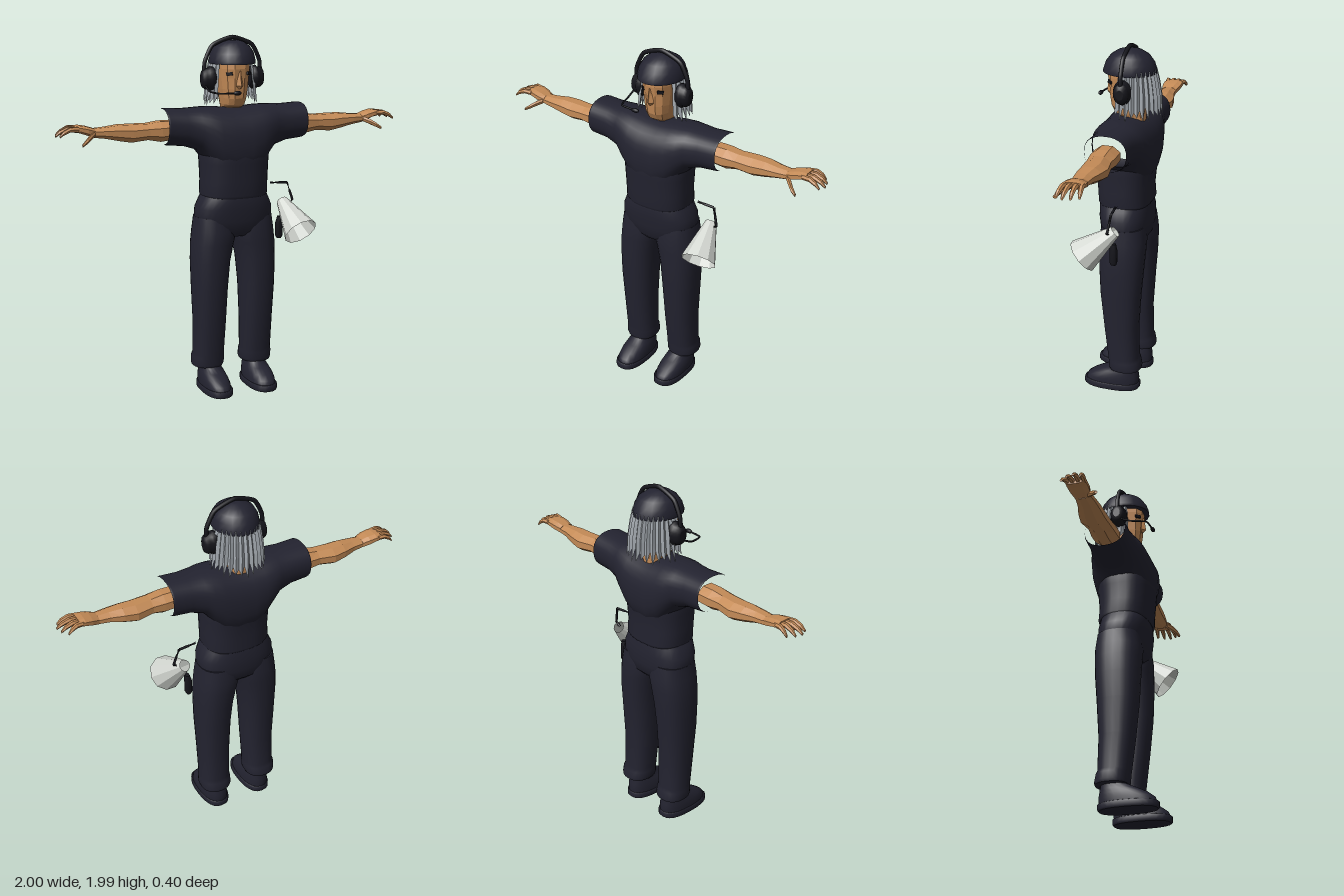
import * as THREE from 'three';

const mat = (name, color, side = THREE.FrontSide) => {
  const m = new THREE.MeshStandardMaterial({ color, side });
  m.name = name;
  return m;
};

// Skin of a stack of oval rings [t, uMin, uMax, vMin, vMax].
// axis 'y': t = y, u = x, v = z.  axis 'x': t = x, u = z, v = y.
function loft(rings, { n = 24, axis = 'y', p = 1, flat = false, start = true, end = true, turn = 0 } = {}) {
  const pos = [], idx = [];
  const put = (t, u, v) => pos.push(...(axis === 'y' ? [u, t, v] : [t, v, u]));
  const pow = (c) => Math.sign(c) * Math.abs(c) ** p;
  const ring = ([t, u0, u1, v0, v1]) => {
    for (let j = 0; j < n; j++) {
      const a = ((j + turn) / n) * Math.PI * 2;
      put(t, (u0 + u1) / 2 + pow(Math.cos(a)) * (u1 - u0) / 2, (v0 + v1) / 2 + pow(Math.sin(a)) * (v1 - v0) / 2);
    }
  };
  rings.forEach(ring);
  for (let i = 0; i < rings.length - 1; i++) {
    for (let j = 0; j < n; j++) {
      const a = i * n + j, b = i * n + (j + 1) % n;
      idx.push(a, a + n, b, b, a + n, b + n);
    }
  }
  const cap = (r, last) => {
    const base = pos.length / 3;
    ring(r);
    put(r[0], (r[1] + r[2]) / 2, (r[3] + r[4]) / 2);
    for (let j = 0; j < n; j++) {
      const a = base + j, b = base + (j + 1) % n;
      if (last) idx.push(base + n, b, a); else idx.push(base + n, a, b);
    }
  };
  if (start) cap(rings[0], false);
  if (end) cap(rings[rings.length - 1], true);
  return finish(pos, idx, flat);
}

function finish(pos, idx, flat) {
  let g = new THREE.BufferGeometry();
  g.setAttribute('position', new THREE.Float32BufferAttribute(pos, 3));
  g.setIndex(idx);
  if (flat) g = g.toNonIndexed();
  g.computeVertexNormals();
  return g;
}

const tube = (pts, r, seg = 24) => new THREE.TubeGeometry(
  new THREE.CatmullRomCurve3(pts.map((q) => new THREE.Vector3(...q)), false, 'catmullrom', 0.3), seg, r, 8);

export function createModel() {
  const root = new THREE.Group();
  const cloth = mat('dark cloth', 0x232330);
  const gear = mat('headset black', 0x15151b);
  const skin = mat('skin', 0xc48b57);
  const grey = mat('grey hair', 0xa0a6ac, THREE.DoubleSide);
  const pale = mat('pale plastic', 0xd2d6d0, THREE.DoubleSide);
  const add = (name, geo, m, parent = root) => {
    const mesh = new THREE.Mesh(geo, m);
    mesh.name = name;
    parent.add(mesh);
    return mesh;
  };
  // Symmetric rows: [y, half width, zMin, zMax]
  const sym = (rows) => rows.map(([y, w, z0, z1]) => [y, -w, w, z0, z1]);

  // Shirt: hollow sleeves and chest in one tube, with the body below
  const half = [
    [0.41, -0.13, 0.095, 1.415, 1.605], [0.40, -0.135, 0.1, 1.41, 1.607], [0.3, -0.135, 0.1, 1.4, 1.602],
    [0.22, -0.15, 0.115, 1.375, 1.605], [0.18, -0.165, 0.135, 1.33, 1.607], [0.12, -0.177, 0.152, 1.25, 1.606],
    [0.05, -0.18, 0.16, 1.2, 1.6]];
  const chest = [...half.map(([x, ...r]) => [-x, ...r]), ...half.slice().reverse()];
  add('shirtSleevesAndChest', loft(chest, { axis: 'x', n: 32, p: 0.85, start: false, end: false }), cloth);
  add('shirtBody', loft(sym([
    [1.11, 0.18, -0.15, 0.13], [1.125, 0.188, -0.158, 0.138], [1.2, 0.187, -0.152, 0.142],
    [1.3, 0.19, -0.162, 0.152], [1.37, 0.195, -0.172, 0.158], [1.41, 0.185, -0.17, 0.15]]),
  { n: 32, p: 0.8, end: false }), cloth);

  // Trousers
  add('trouserSeat', loft(sym([
    [0.89, 0.1, -0.11, 0.08], [0.92, 0.19, -0.14, 0.105], [0.98, 0.222, -0.152, 0.118],
    [1.05, 0.218, -0.152, 0.128], [1.1, 0.195, -0.145, 0.13], [1.13, 0.18, -0.14, 0.125]]), { n: 32, p: 0.8 }), cloth);

  // Paired parts, built on the +x side and mirrored
  for (const s of [1, -1]) {
    const side = new THREE.Group();
    side.name = s > 0 ? 'leftLimbs' : 'rightLimbs';
    side.scale.x = s;
    root.add(side);

    add('trouserLeg', loft([
      [0.135, 0.062, 0.232, -0.135, 0.045], [0.15, 0.055, 0.236, -0.138, 0.05], [0.19, 0.055, 0.236, -0.13, 0.052],
      [0.21, 0.058, 0.23, -0.122, 0.055], [0.4, 0.052, 0.232, -0.118, 0.078], [0.6, 0.044, 0.24, -0.13, 0.098],
      [0.75, 0.03, 0.243, -0.142, 0.105], [0.85, 0.008, 0.24, -0.148, 0.108], [0.92, -0.01, 0.232, -0.15, 0.11],
      [1.0, -0.01, 0.222, -0.14, 0.1]], { p: 0.85 }), cloth, side);

    add('shoeSole', loft([
      [0, 0.062, 0.21, -0.118, 0.195], [0.008, 0.055, 0.216, -0.125, 0.203], [0.034, 0.055, 0.216, -0.125, 0.203],
      [0.038, 0.062, 0.21, -0.118, 0.195]], { p: 0.8 }), cloth, side);
    add('shoeUpper', loft([
      [0.036, 0.062, 0.21, -0.118, 0.192], [0.06, 0.062, 0.21, -0.12, 0.183], [0.085, 0.066, 0.207, -0.117, 0.15],
      [0.11, 0.072, 0.2, -0.113, 0.1], [0.135, 0.082, 0.192, -0.11, 0.045], [0.2, 0.09, 0.19, -0.1, 0.03]],
    { p: 0.85 }), cloth, side);

    // Bare arm and palm
    add('arm', loft([
      [0.36, -0.09, 0.06, 1.435, 1.545], [0.43, -0.09, 0.06, 1.428, 1.545], [0.5, -0.085, 0.052, 1.442, 1.535],
      [0.59, -0.1, 0.05, 1.432, 1.535], [0.66, -0.09, 0.045, 1.445, 1.535], [0.73, -0.07, 0.038, 1.462, 1.527],
      [0.8, -0.062, 0.028, 1.472, 1.522]], { axis: 'x', n: 8, turn: 0.5, flat: true }), skin, side);
    add('palm', loft([
      [0.79, -0.062, 0.028, 1.472, 1.522], [0.83, -0.075, 0.036, 1.485, 1.535], [0.87, -0.082, 0.034, 1.5, 1.542],
      [0.9, -0.08, 0.03, 1.505, 1.54]], { axis: 'x', n: 8, p: 0.8, turn: 0.5, flat: true }), skin, side);

    // Curled fingers: base z, tip z, tip x
    [[-0.066, -0.078, 0.965], [-0.039, -0.042, 0.99], [-0.01, -0.003, 1.0], [0.018, 0.032, 0.985]].forEach(([z0, z1, x1], k) => {
      const rings = [[0, 1.523, 0.014], [0.45, 1.525, 0.014], [0.8, 1.51, 0.012], [1, 1.492, 0.007]].map(([f, y, r]) => {
        const z = z0 + (z1 - z0) * f;
        return [0.88 + (x1 - 0.88) * f, z - r, z + r, y - r, y + r];
      });
      add('finger' + (k + 1), loft(rings, { axis: 'x', n: 6, flat: true }), skin, side);
    });
    add('thumb', loft([
      [0.795, 0.0, 0.03, 1.48, 1.51], [0.825, 0.025, 0.06, 1.465, 1.498], [0.85, 0.05, 0.08, 1.452, 1.48],
      [0.88, 0.072, 0.09, 1.438, 1.455]], { axis: 'x', n: 6, flat: true }), skin, side);

    // Ear cup of the headset
    const cup = [[0.1, 0.7], [0.115, 0.95], [0.135, 1], [0.142, 0.85], [0.16, 0.85], [0.175, 0.7], [0.182, 0.4]];
    add('earCup', loft(cup.map(([x, k]) => [x, -0.02 - 0.05 * k, -0.02 + 0.05 * k, 1.755 - 0.067 * k, 1.755 + 0.067 * k]),
      { axis: 'x', n: 20 }), gear, side);

    // Eye with dark brow, a thin plate wrapped on the face corner
    const eye = add('eye', new THREE.BoxGeometry(0.034, 0.018, 0.008), gear, side);
    eye.position.set(0.056, 1.785, 0.073);
    eye.rotation.set(0, 0.75, -0.15);
  }

  // Head and neck
  add('head', loft(sym([
    [1.54, 0.055, -0.11, 0.01], [1.6, 0.055, -0.11, 0.03], [1.615, 0.06, -0.11, 0.058], [1.65, 0.066, -0.12, 0.076],
    [1.7, 0.074, -0.13, 0.083], [1.76, 0.08, -0.14, 0.086], [1.81, 0.083, -0.14, 0.094], [1.86, 0.083, -0.14, 0.09]]),
  { n: 12, p: 0.75, turn: 0.5, flat: true }), skin);
  add('nose', loft(sym([
    [1.705, 0.012, 0.06, 0.092], [1.72, 0.02, 0.06, 0.106], [1.8, 0.009, 0.06, 0.095]]),
  { n: 4, flat: true }), skin);

  // Hair: folded curtain around the sides and back with ragged tips
  const cols = 40, pos = [], idx = [];
  const rows = [[1.86, 0.112, 0.11], [1.8, 0.122, 0.125], [1.72, 0.132, 0.138], [1.635, 0.14, 0.142]];
  for (let r = 0; r < 4; r++) {
    for (let c = 0; c <= cols; c++) {
      const a = (c / cols * 2 - 1) * 2.2;
      const fold = c % 2 ? 1.05 : 0.95;
      const tip = r === 3 ? (c % 2 ? -0.022 : 0.028) + 0.014 * Math.sin(c * 2.3) : 0;
      pos.push(Math.sin(a) * rows[r][1] * fold, rows[r][0] + tip, -0.05 - Math.cos(a) * rows[r][2] * fold);
      if (r < 3 && c < cols) {
        const i = r * (cols + 1) + c, k = i + cols + 1;
        idx.push(i, i + 1, k, i + 1, k + 1, k);
      }
    }
  }
  add('hair', finish(pos, idx, true), grey);

  // Helmet
  add('helmet', loft(sym([
    [1.835, 0.124, -0.168, 0.123], [1.85, 0.126, -0.168, 0.122], [1.89, 0.118, -0.155, 0.108],
    [1.925, 0.098, -0.13, 0.082], [1.95, 0.064, -0.09, 0.045], [1.96, 0.025, -0.045, 0.003]]), { n: 20 }), cloth);

  // Headset band and microphone
  add('headBand', tube([[-0.165, 1.79, -0.02], [-0.16, 1.85, -0.02], [-0.115, 1.935, -0.02], [0, 1.975, -0.02],
    [0.115, 1.935, -0.02], [0.16, 1.85, -0.02], [0.165, 1.79, -0.02]], 0.012, 40), gear);
  add('microphoneBoom', tube([[-0.165, 1.73, -0.02], [-0.165, 1.695, 0.06], [-0.14, 1.69, 0.145], [-0.04, 1.69, 0.158]], 0.005), gear);
  const tip = add('microphone', new THREE.SphereGeometry(0.012, 12, 8), gear);
  tip.scale.x = 2;
  tip.position.set(-0.045, 1.69, 0.158);

  // Megaphone hanging at the hip
  const small = new THREE.Vector3(0.315, 1.045, -0.04), wide = new THREE.Vector3(0.35, 0.895, 0.135);
  const axis = wide.clone().sub(small);
  const horn = add('megaphoneHorn', new THREE.CylinderGeometry(0.098, 0.032, axis.length(), 10, 1, true).toNonIndexed(), pale);
  horn.geometry.computeVertexNormals();
  horn.position.copy(small).add(wide).multiplyScalar(0.5);
  horn.quaternion.setFromUnitVectors(new THREE.Vector3(0, 1, 0), axis.normalize());
  add('megaphoneGrip', loft([
    [0.835, 0.275, 0.3, -0.035, -0.005], [0.85, 0.268, 0.308, -0.04, 0], [0.92, 0.268, 0.308, -0.04, 0],
    [0.96, 0.28, 0.305, -0.035, 0.005]], { n: 12, p: 0.7 }), gear);
  const strap = [[0.235, 1.157, -0.02], [0.34, 1.15, -0.025], [0.368, 1.05, -0.01], [0.335, 1.03, -0.01]];
  for (let i = 0; i < 3; i++) add('megaphoneStrap' + (i + 1), tube([strap[i], strap[i + 1]], 0.007, 2), gear);

  return root;
}
